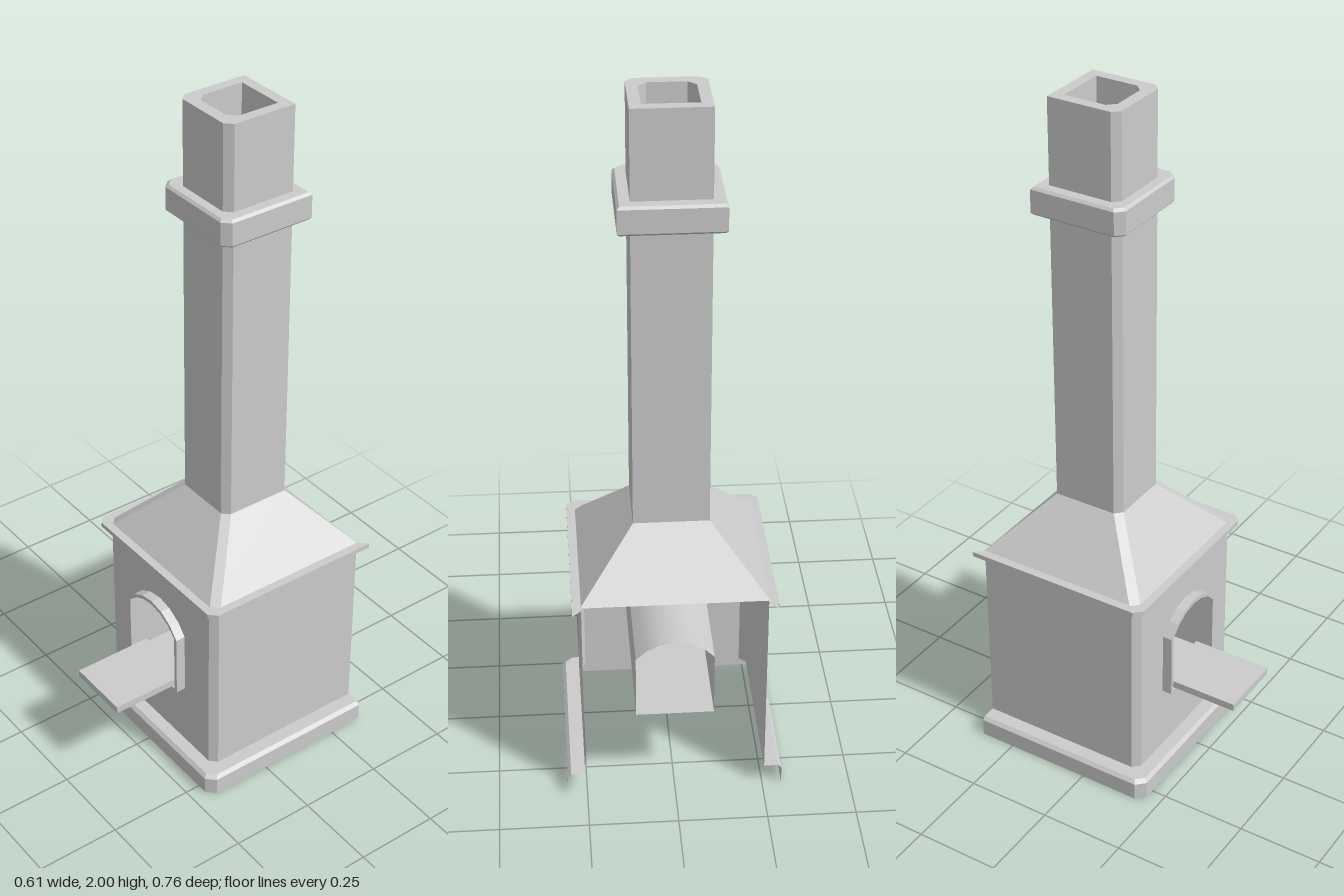
import * as THREE from 'three';
import { toCreasedNormals } from 'three/addons/utils/BufferGeometryUtils.js';

const material = new THREE.MeshStandardMaterial({ color: 0xcccccc, side: THREE.DoubleSide });

// Plan outline running from the back left corner round the chamfered front to the back right.
function plan(y, hx, zFront, zBack, c, skew = 0) {
  const half = [[hx, zBack - skew], [hx, zFront - c], [hx - c, zFront]];
  const mirrored = half.map(([x, z]) => [-x, z]).reverse();
  return [...half, ...mirrored].map(([x, z]) => [x, y, z]);
}

// Skin a list of rings; closed rings wrap round, and chosen segments can be left out.
function skin(rings, { closed = false, skip = [] } = {}) {
  const n = rings[0].length;
  const index = [];
  for (let r = 0; r < rings.length - 1; r++) {
    for (let i = 0; i < (closed ? n : n - 1); i++) {
      if (skip.includes(i)) continue;
      const a = r * n + i, b = r * n + (i + 1) % n;
      index.push(b, a, a + n, b, a + n, b + n);
    }
  }
  const geo = new THREE.BufferGeometry();
  geo.setAttribute('position', new THREE.Float32BufferAttribute(rings.flat(2), 3));
  geo.setIndex(index);
  return toCreasedNormals(geo, 0.4);
}

// Closed outline of an opening with a shallow segmental arch.
function archPoints(hw, bottom, spring, rise, segments = 6) {
  const radius = (hw * hw + rise * rise) / (2 * rise);
  const half = Math.asin(hw / radius);
  const pts = [[-hw, bottom], [hw, bottom]];
  for (let i = 0; i <= segments; i++) {
    const a = half * (1 - (2 * i) / segments);
    pts.push([radius * Math.sin(a), spring + rise - radius + radius * Math.cos(a)]);
  }
  return pts;
}
const toVectors = (pts) => pts.map(([x, y]) => new THREE.Vector2(x, y));

export function createModel() {
  const group = new THREE.Group();
  const add = (name, geo) => {
    const mesh = new THREE.Mesh(geo, material);
    mesh.name = name;
    group.add(mesh);
    return mesh;
  };
  const back = -0.355;

  // Plinth: a shell open at the back and underneath
  add('plinth', skin([
    plan(0, 0.305, 0.205, back, 0.025),
    plan(0.052, 0.305, 0.205, back, 0.025),
    plan(0.062, 0.295, 0.195, back, 0.022),
    plan(0.062, 0.255, 0.158, back, 0.02),
  ]));

  // Body: side walls and chamfered corners, then the front wall with its opening
  add('sideWalls', skin([
    plan(0.06, 0.255, 0.158, back, 0.02),
    plan(0.63, 0.255, 0.158, back, 0.02),
  ], { skip: [2] }));
  const opening = archPoints(0.109, 0.266, 0.455, 0.053);
  const wall = new THREE.Shape(toVectors([[-0.235, 0.06], [0.235, 0.06], [0.235, 0.63], [-0.235, 0.63]]));
  wall.holes.push(new THREE.Path(toVectors(opening)));
  add('frontWall', new THREE.ShapeGeometry(wall)).position.z = 0.158;

  // Raised frame round the opening
  const frame = new THREE.Shape(toVectors(archPoints(0.12, 0.26, 0.455, 0.065)));
  frame.holes.push(new THREE.Path(toVectors(opening)));
  add('openingFrame', new THREE.ExtrudeGeometry(frame, { depth: 0.03, bevelEnabled: false }))
    .position.z = 0.157;

  // Vaulted firebox running through to the open back
  add('firebox', skin([back, 0.16].map((z) => opening.map(([x, y]) => [x, y, z])), { closed: true }));

  // Shelf in front of the opening
  add('shelf', new THREE.BoxGeometry(0.196, 0.022, 0.24)).position.set(0, 0.279, 0.26);

  // Cornice with mitred ends at the back
  add('cornice', skin([
    plan(0.627, 0.255, 0.158, back, 0.02),
    plan(0.627, 0.28, 0.18, back, 0.022, 0.025),
    plan(0.641, 0.28, 0.18, back, 0.022, 0.025),
    plan(0.641, 0.255, 0.156, back, 0.02),
  ]));

  // Hood sloping in to the chimney on all four sides
  add('hood', skin([
    plan(0.638, 0.258, 0.156, -0.358, 0.022),
    plan(0.805, 0.105, 0.005, -0.205, 0.02),
  ], { closed: true }));

  // Hollow chimney
  add('chimney', skin([
    plan(0.805, 0.105, 0.005, -0.205, 0.02),
    plan(2, 0.105, 0.005, -0.205, 0.02),
    plan(2, 0.074, -0.028, -0.174, 0.022),
    plan(0.805, 0.074, -0.028, -0.174, 0.022),
  ], { closed: true }));

  // Collar with bevelled edges round the chimney
  add('collar', skin([
    plan(1.676, 0.104, 0.004, -0.204, 0.02),
    plan(1.676, 0.133, 0.03, -0.234, 0.02),
    plan(1.683, 0.14, 0.037, -0.241, 0.022),
    plan(1.749, 0.14, 0.037, -0.241, 0.022),
    plan(1.756, 0.133, 0.03, -0.234, 0.02),
    plan(1.756, 0.104, 0.004, -0.204, 0.02),
  ], { closed: true }));

  return group;
}
